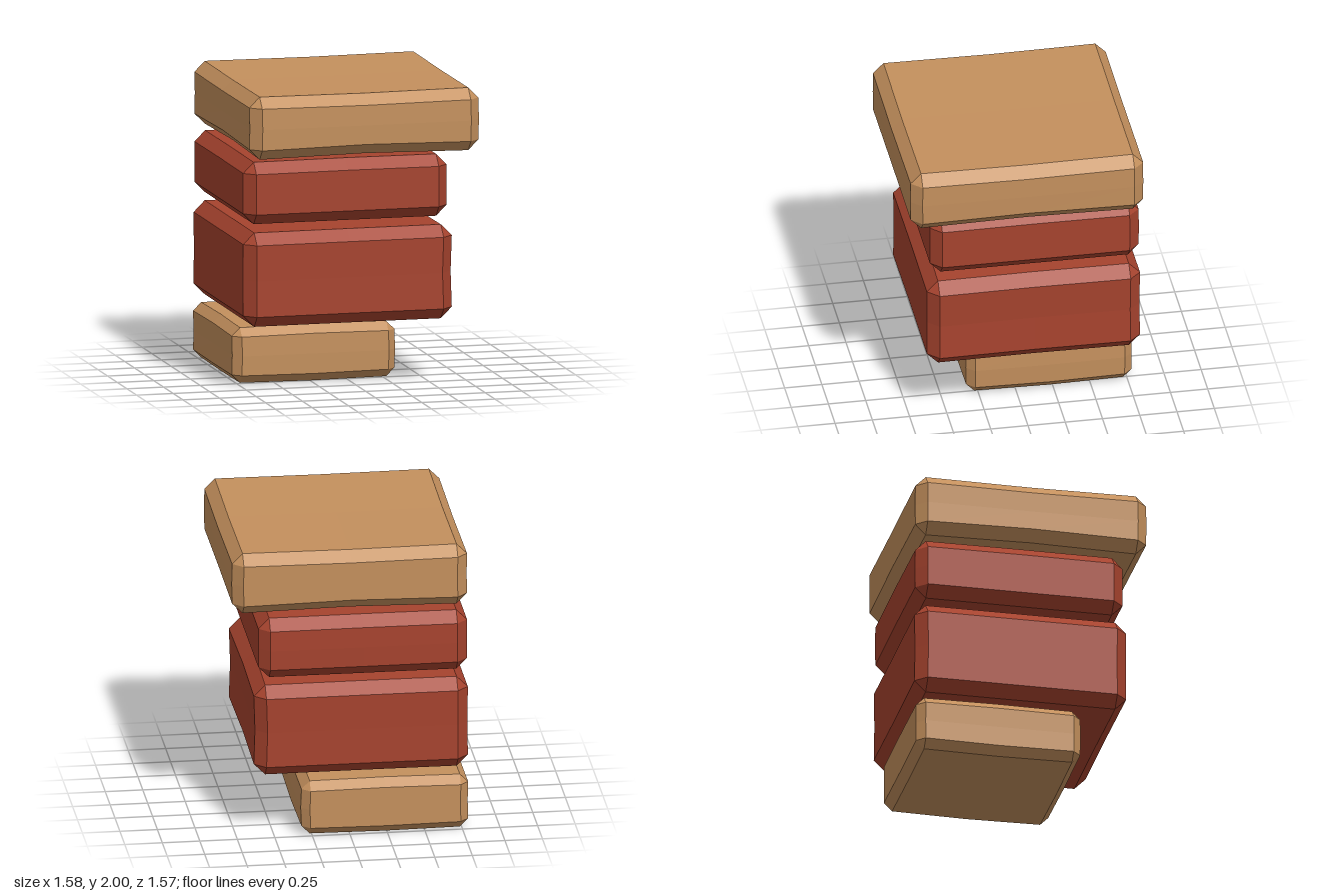
import * as THREE from 'three';

// Chamfered, slightly bowed stone block between two corners.
// bow: how far the middle of each side moves along its axis [x-, x+, y-, y+, z-, z+]
function stoneBlock(min, max, chamfer, bow) {
  const geo = new THREE.BoxGeometry(4, 4, 4, 4, 4, 4);
  const pos = geo.attributes.position;
  for (let i = 0; i < pos.count; i++) {
    const g = [pos.getX(i), pos.getY(i), pos.getZ(i)].map(Math.round);
    const outer = g.filter((v) => Math.abs(v) === 2).length;
    // Vertices on an edge or corner are pulled in onto the chamfer plane
    const inset = [0, 0, chamfer / 2, chamfer * 2 / 3][outer];
    const p = g.map((v, a) => {
      if (v === 0) return (min[a] + max[a]) / 2;
      const d = Math.abs(v) === 2 ? inset : chamfer;
      const middles = g.filter((w, b) => b !== a && w === 0).length;
      const shift = bow[a * 2 + (v > 0 ? 1 : 0)] * middles / 2;
      return (v > 0 ? max[a] - d : min[a] + d) + shift;
    });
    pos.setXYZ(i, ...p);
  }
  // Separate faces give hard, faceted edges
  const flat = geo.toNonIndexed();
  flat.computeVertexNormals();
  return flat;
}

export function createModel() {
  const sandstone = new THREE.MeshStandardMaterial({ color: 0xc4905d });
  sandstone.name = 'sandstone';
  const redBrick = new THREE.MeshStandardMaterial({ color: 0xa6432e });
  redBrick.name = 'red brick';

  // name, material, min corner, max corner, chamfer, bow
  const blocks = [
    ['baseStone', sandstone, [-0.79, 0.01, -0.78], [0.32, 0.38, 0.33], 0.055,
      [0.005, 0.01, -0.01, 0.01, 0, 0.005]],
    ['largeBrick', redBrick, [-0.79, 0.435, -0.785], [0.635, 1.065, 0.645], 0.075,
      [0, -0.015, 0, 0, 0.005, -0.005]],
    ['smallBrick', redBrick, [-0.785, 1.12, -0.78], [0.605, 1.535, 0.62], 0.072,
      [0, 0, 0, 0.005, -0.005, 0]],
    ['capStone', sandstone, [-0.785, 1.58, -0.78], [0.78, 2, 0.78], 0.07,
      [0.005, 0.005, 0.025, -0.01, 0, 0.005]],
  ];

  const group = new THREE.Group();
  group.name = 'stoneStack';
  for (const [name, material, min, max, chamfer, bow] of blocks) {
    const mesh = new THREE.Mesh(stoneBlock(min, max, chamfer, bow), material);
    mesh.name = name;
    group.add(mesh);
  }
  return group;
}
